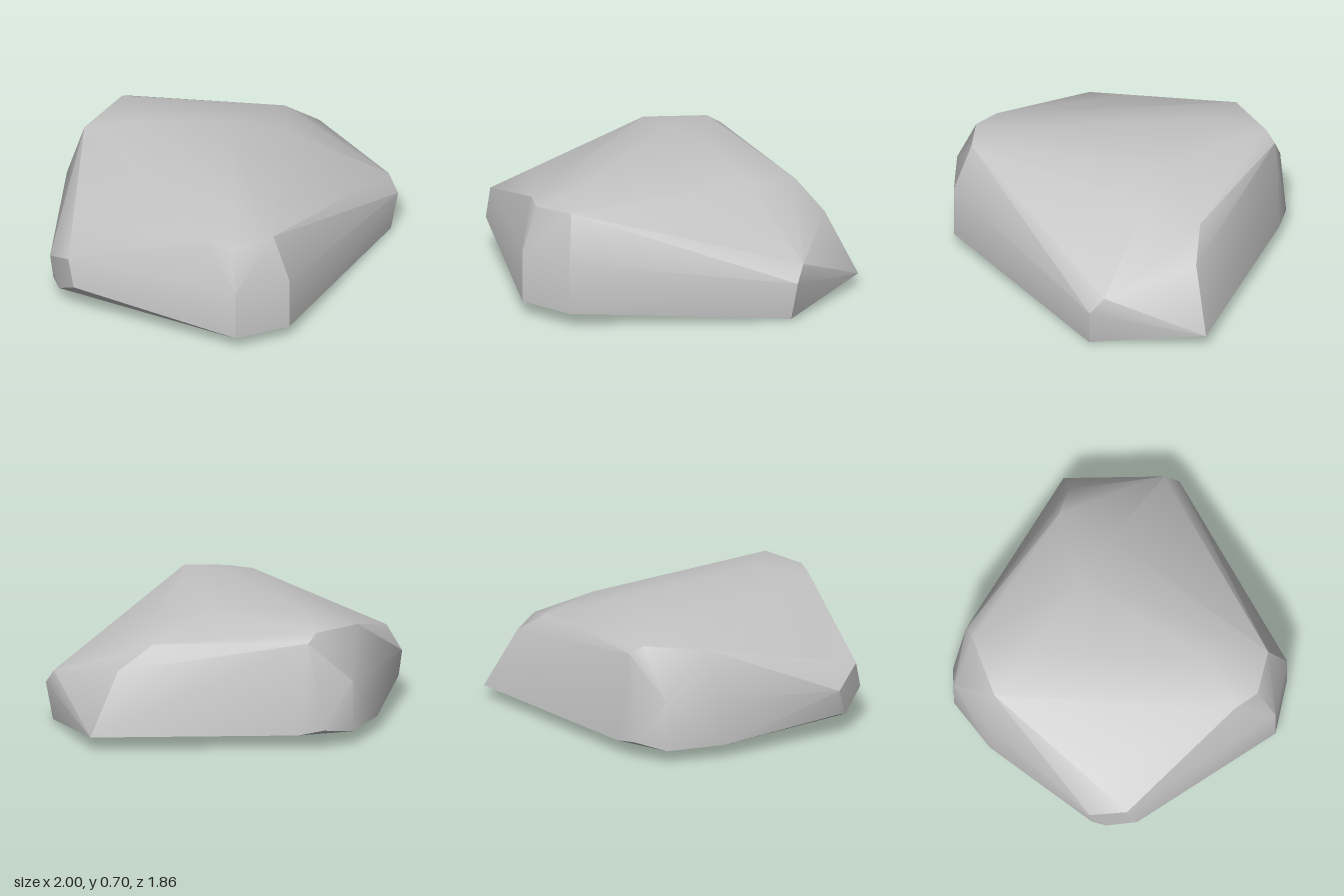
import * as THREE from 'three';
import { ConvexGeometry } from 'three/addons/geometries/ConvexGeometry.js';
import { toCreasedNormals } from 'three/addons/utils/BufferGeometryUtils.js';

// Corner rings of the boulder, from the ground up
const underside = [
  [-0.62, 0.035, 0], [0.15, 0.01, 0], [0.2, 0, -0.5],
];
const base = [
  [0.05, 0.09, 0.93], [0.36, 0.09, 0.81], [0.96, 0.015, -0.31], [0.71, 0.075, -0.93],
  [-0.48, 0.085, -0.85], [-0.62, 0.11, -0.83], [-0.78, 0.08, -0.72], [-0.9, 0.085, -0.4],
  [-0.98, 0.13, 0.34], [-0.95, 0.11, 0.42],
];
const waist = [
  [0.05, 0.4, 0.93], [0.36, 0.4, 0.81], [1, 0.24, -0.33], [0.95, 0.33, -0.4],
  [0.56, 0.435, -0.8], [-0.78, 0.375, -0.72], [-0.89, 0.36, -0.4],
  [-1, 0.28, 0.34], [-0.9, 0.38, 0.53], [-0.87, 0.22, 0.58],
];
const shoulder = [
  [0.03, 0.64, 0.82], [0.27, 0.66, 0.74], [0.36, 0.58, -0.735], [0.37, 0.635, -0.4],
  [-0.53, 0.615, -0.8], [-0.57, 0.66, -0.73], [-0.79, 0.64, -0.44], [-0.87, 0.45, 0.27],
  [-0.12, 0.64, 0.76],
];
const crown = [
  [-0.47, 0.705, -0.4], [0.04, 0.705, -0.4], [0.04, 0.705, 0.5],
];

export function createModel() {
  const group = new THREE.Group();
  group.name = 'boulder';

  const stone = new THREE.MeshStandardMaterial({ color: 0xc5c5c5 });
  stone.name = 'grey stone';

  // Convex stone: soft over gentle bends, sharp on the hard edges
  const points = [...underside, ...base, ...waist, ...shoulder, ...crown]
    .map((p) => new THREE.Vector3(...p));
  const geometry = toCreasedNormals(new ConvexGeometry(points), THREE.MathUtils.degToRad(36));

  const rock = new THREE.Mesh(geometry, stone);
  rock.name = 'rock';
  group.add(rock);
  return group;
}
